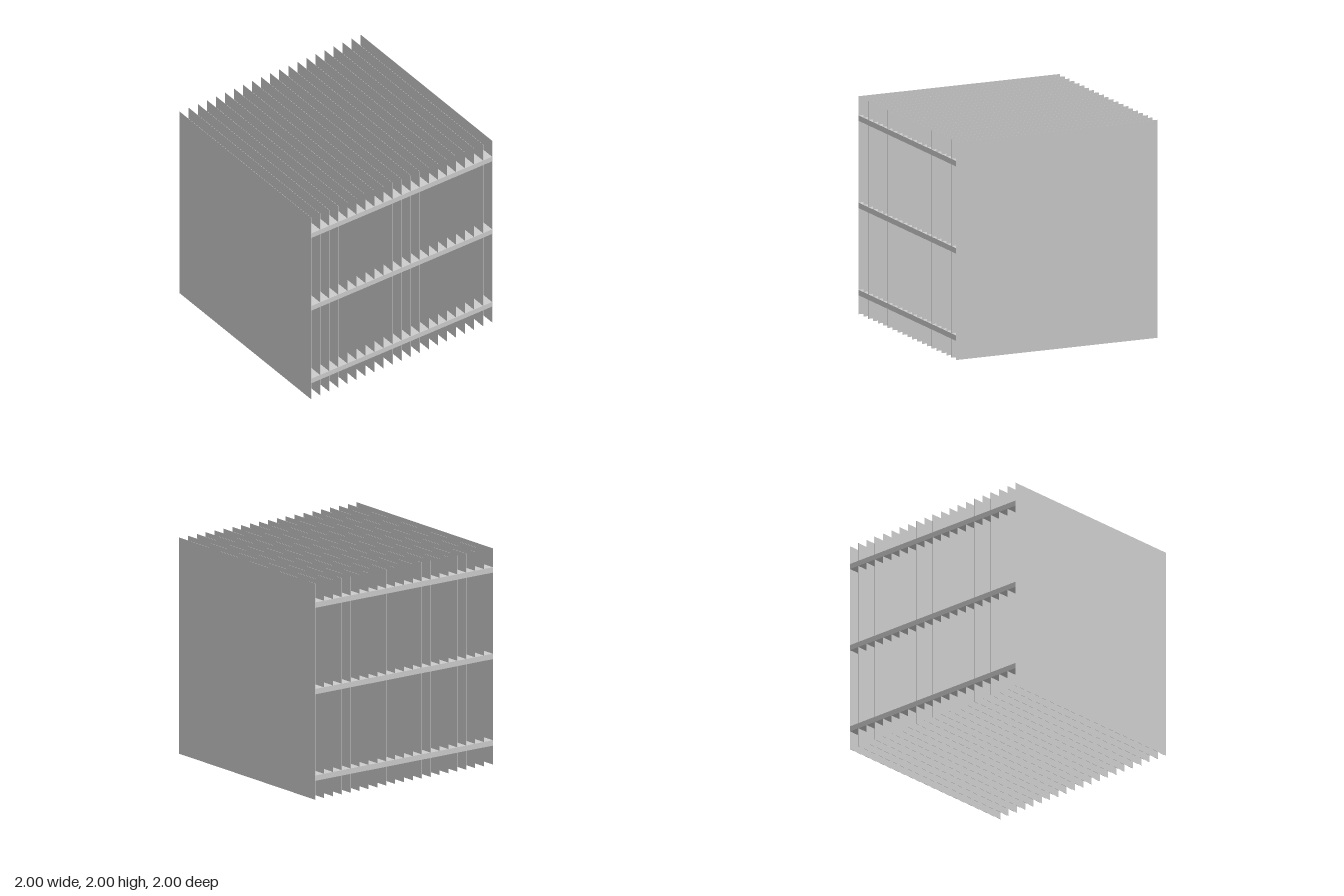
import * as THREE from 'three';

const SHEET = 0.002; // sheet thickness
const COUNT = 21;

export function createModel() {
  const model = new THREE.Group();
  const material = new THREE.MeshStandardMaterial({ color: 0xcccccc, flatShading: true });

  // Evenly spaced thin upright sheets
  const sheets = new THREE.Group();
  sheets.name = 'uprightSheets';
  const sheetGeometry = new THREE.BoxGeometry(SHEET, 2, 2);
  const span = 2 - SHEET;
  for (let i = 0; i < COUNT; i++) {
    const sheet = new THREE.Mesh(sheetGeometry, material);
    sheet.name = `uprightSheet${i + 1}`;
    sheet.position.set(-span / 2 + (span * i) / (COUNT - 1), 1, 0);
    sheets.add(sheet);
  }
  model.add(sheets);

  // Full-depth shelves crossing all the sheets, ending inside the outer two
  const shelves = new THREE.Group();
  shelves.name = 'shelves';
  const shelfGeometry = new THREE.BoxGeometry(2 - SHEET, 0.05, 2);
  [['lowerShelf', 0.2], ['middleShelf', 1], ['upperShelf', 1.8]].forEach(([name, y]) => {
    const shelf = new THREE.Mesh(shelfGeometry, material);
    shelf.name = name;
    shelf.position.y = y;
    shelves.add(shelf);
  });
  model.add(shelves);

  return model;
}
